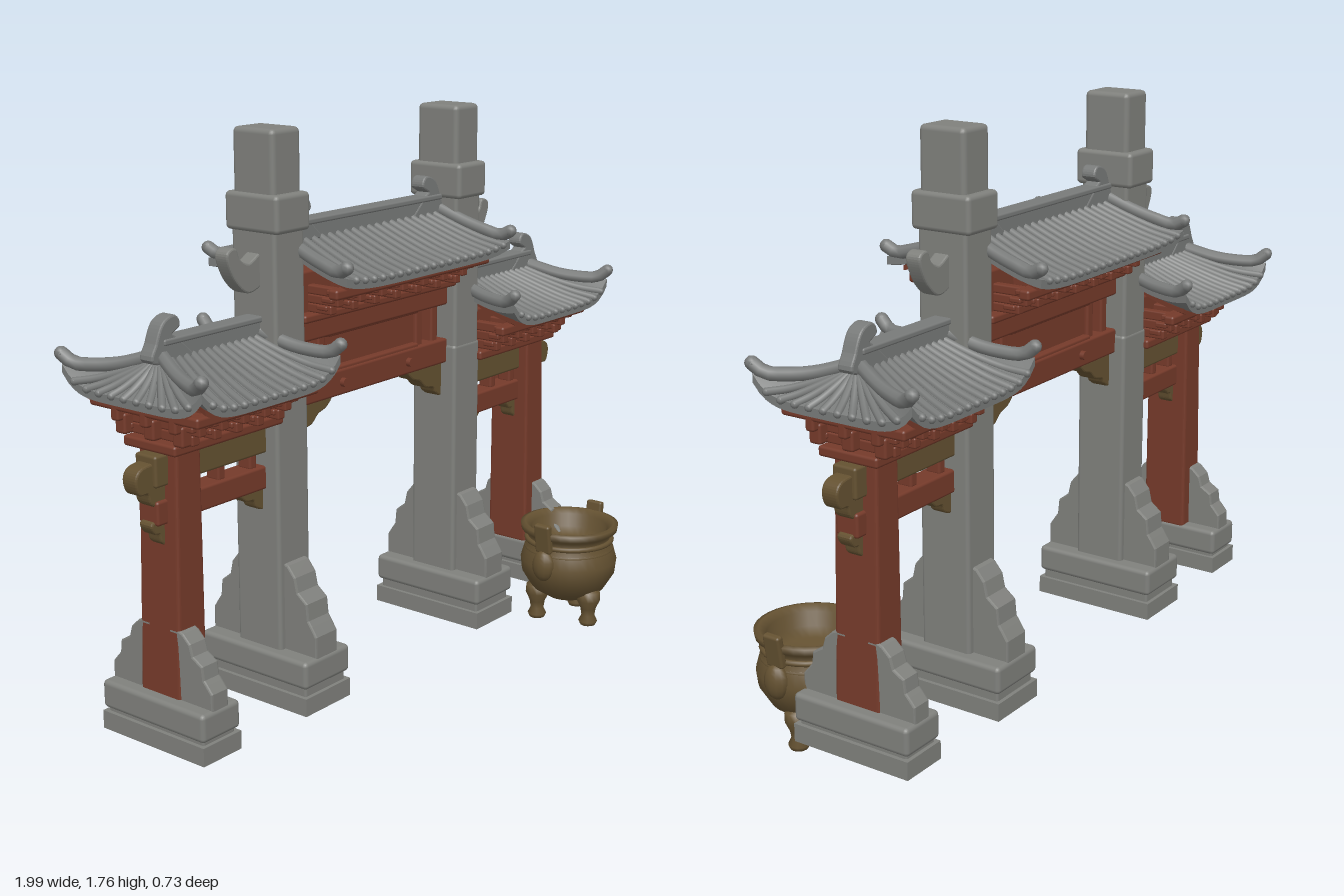
import * as THREE from 'three';
import { RoundedBoxGeometry } from 'three/addons/geometries/RoundedBoxGeometry.js';

const mat = (name, color) => Object.assign(new THREE.MeshStandardMaterial({ color }), { name });
const stone = mat('stone grey', 0x7f807c);
const tile = mat('roof tile grey', 0x787a79);
const red = mat('painted wood red', 0x753a2a);
const bronze = mat('bronze brown', 0x645131);

const V = (x, y, z) => new THREE.Vector3(x, y, z);
const lerp = THREE.MathUtils.lerp;
const HALF = 0.265; // half depth of the roofs

function add(parent, name, geometry, material, x = 0, y = 0, z = 0) {
  const mesh = new THREE.Mesh(geometry, material);
  mesh.name = name;
  mesh.position.set(x, y, z);
  parent.add(mesh);
  return mesh;
}

// Softened block given by its x and y ranges and its depth
function block(parent, name, material, x0, x1, y0, y1, depth, z = 0, r = 0.008) {
  const w = x1 - x0, h = y1 - y0;
  const geo = new RoundedBoxGeometry(w, h, depth, 2, Math.min(r, w / 3, h / 3));
  return add(parent, name, geo, material, (x0 + x1) / 2, (y0 + y1) / 2, z);
}

// Flat carved piece cut from a smooth outline in the x-y plane
function carving(parent, name, material, points, depth, smooth = true) {
  const pts = points.map(p => new THREE.Vector2(...p));
  const shape = new THREE.Shape();
  shape.moveTo(pts[0].x, pts[0].y);
  if (smooth) shape.splineThru([...pts.slice(1), pts[0]]);
  else pts.slice(1).forEach(p => shape.lineTo(p.x, p.y));
  const geo = new THREE.ExtrudeGeometry(shape, {
    depth: depth - 0.012, bevelSize: 0.005, bevelThickness: 0.006, bevelSegments: 2, curveSegments: 5,
  });
  geo.translate(0, 0, 0.006 - depth / 2);
  return add(parent, name, geo, material);
}

function tube(parent, name, material, points, radius) {
  const curve = new THREE.CatmullRomCurve3(points);
  add(parent, name, new THREE.TubeGeometry(curve, 10, radius, 8), material);
  for (const p of [points[0], points.at(-1)])
    add(parent, name + 'End', new THREE.SphereGeometry(radius, 8, 6), material, p.x, p.y, p.z);
}

// Curved roof slab: u runs along the eave, t from eave (0) to ridge (1)
function slab(parent, name, material, at, thickness, drop, inset = 0) {
  const geo = new THREE.BoxGeometry(1, 1, 1, 24, 1, 10);
  const pos = geo.attributes.position;
  for (let i = 0; i < pos.count; i++) {
    const p = at(pos.getX(i) * (1 - inset), inset + (0.5 - pos.getZ(i)) * (1 - inset));
    pos.setXYZ(i, p.x, p.y - drop + (pos.getY(i) - 0.5) * thickness, p.z);
  }
  geo.computeVertexNormals();
  add(parent, name, geo, material);
}

// Tiled slope with rows of round tiles
function slope(parent, at, width) {
  slab(parent, 'roofSlope', tile, at, 0.025, 0);
  slab(parent, 'soffit', red, at, 0.015, 0.026, 0.1);
  const n = Math.round(width / 0.04);
  for (let i = 1; i < n; i++)
    tube(parent, 'tileRow', tile, [0, 0.25, 0.5, 0.75, 0.98].map(t => at(i / n - 0.5, t)), 0.012);
}

function roof(parent, r) {
  const height = (u, t) => r.eave + (r.top - r.eave) * t ** 1.2
    + r.lift * Math.abs(2 * u) ** 6 * (1 - t) ** 2;
  for (const s of [1, -1]) {
    const at = (u, t) => V(lerp(lerp(...r.inner, t), lerp(...r.outer, t), u * s + 0.5),
      height(u, t), s * HALF * (1 - t));
    slope(parent, at, r.outer[0] - r.inner[0]);
    // upturned ridges along both ends
    for (const e of [-0.5, 0.5]) {
      const tip = at(e, 0);
      tip.y += 0.03;
      tube(parent, 'endRidge', tile, [tip, ...[0.12, 0.35, 0.6, 0.95].map(t => at(e, t).add(V(0, 0.012, 0)))], 0.02);
    }
  }
  if (r.hip)
    slope(parent, (u, t) => V(lerp(...r.outer, t), height(u, t), -2 * u * HALF * (1 - t)), 0.45);
  block(parent, 'ridge', tile, r.ridge[0], r.ridge[1], r.top - 0.02, r.top + 0.05, 0.045);
  block(parent, 'ridgeMoulding', tile, r.ridge[0], r.ridge[1], r.top + 0.036, r.top + 0.054, 0.06);
}

// Curled ridge ornament leaning outward (dir = 1 towards +x)
const curl = (parent, x, y, dir) => carving(parent, 'ridgeCurl', tile,
  [[-0.07, 0], [0.07, 0], [0.06, 0.05], [0.035, 0.1], [-0.005, 0.115], [-0.02, 0.09], [0.01, 0.07], [-0.015, 0.05]]
    .map(([a, b]) => [x + a * dir, y + b]), 0.05);

// Stepped bracket cluster growing outward under an eave
function bracket(parent, x, y, h, reach) {
  for (let i = 0; i < 3; i++) {
    const d = lerp(0.11, reach, (i + 1) / 3), y0 = y + i * h / 3, w = 0.022 + i * 0.009;
    block(parent, 'bracketArm', red, x - 0.014, x + 0.014, y0, y0 + h / 3, d * 2, 0, 0.005);
    for (const s of [1, -1])
      block(parent, 'bracketBlock', red, x - w, x + w, y0 + h / 7, y0 + h / 3, 0.04, s * (d - 0.03), 0.005);
  }
}

// Hollow two-tier plinth with scrolled buttress stones before and behind the column
function plinth(parent, x, w, depth, top, stoneTop, stoneWidth) {
  const rect = (P, a, b) => new P([[-a, -b], [a, -b], [a, b], [-a, b]].map(p => new THREE.Vector2(...p)));
  const shape = rect(THREE.Shape, w / 2, depth / 2);
  shape.holes.push(rect(THREE.Path, w / 2 - 0.025, depth / 2 - 0.025));
  const foot = new THREE.ExtrudeGeometry(shape, { depth: 0.055, bevelEnabled: false });
  foot.rotateX(-Math.PI / 2);
  add(parent, 'plinthFoot', foot, stone, x, 0.07, 0);
  block(parent, 'plinthWaist', stone, x - w / 2 + 0.012, x + w / 2 - 0.012, 0.115, top - 0.07, depth - 0.024);
  block(parent, 'plinthTop', stone, x - w / 2, x + w / 2, top - 0.085, top, depth, 0, 0.014);
  const d = depth / 2 - 0.01, h = stoneTop - top + 0.01;
  const outline = [[0.04, 0], [d, 0], [d, 0.26], [d - 0.018, 0.36], [d - 0.03, 0.42], [d - 0.035, 0.6],
    [d - 0.07, 0.7], [d - 0.08, 0.86], [d - 0.105, 0.97], [0.07, 1], [0.04, 1]].map(([a, b]) => [a, top - 0.01 + b * h]);
  for (const s of [1, -1]) {
    const m = carving(parent, 'buttressStone', stone, outline, stoneWidth, false);
    m.rotation.y = -s * Math.PI / 2;
    m.position.x = x;
  }
}

// One side of the gate, towards +x
function wing() {
  const g = new THREE.Group();
  g.name = 'wing';
  // tall stone pillar
  plinth(g, 0.425, 0.2, 0.42, 0.235, 0.5, 0.095);
  block(g, 'tallPillar', stone, 0.357, 0.493, 0.2, 1.0, 0.17, 0, 0.012);
  block(g, 'pillarShaft', stone, 0.361, 0.489, 0.98, 1.5, 0.165, 0, 0.012);
  block(g, 'pillarCollar', stone, 0.353, 0.497, 1.47, 1.58, 0.2, 0, 0.014);
  block(g, 'pillarHead', stone, 0.365, 0.485, 1.56, 1.76, 0.155, 0, 0.016);
  carving(g, 'pillarCurl', stone, [[0.47, 1.33], [0.53, 1.31], [0.575, 1.34], [0.605, 1.39], [0.612, 1.425],
    [0.585, 1.435], [0.57, 1.405], [0.53, 1.385], [0.47, 1.41]], 0.05);
  // outer wooden column
  plinth(g, 0.865, 0.15, 0.40, 0.22, 0.42, 0.065);
  const column = new RoundedBoxGeometry(0.11, 0.74, 0.155, 2, 0.01);
  const p = column.attributes.position;
  for (let i = 0; i < p.count; i++)
    if (p.getY(i) > 0) p.setXYZ(i, p.getX(i) * 0.85 - 0.012, p.getY(i), p.getZ(i) * 0.94);
  column.computeVertexNormals();
  add(g, 'outerColumn', column, red, 0.848, 0.58, 0);
  // beams and carved supports
  block(g, 'upperBeam', bronze, 0.48, 0.93, 0.835, 0.925, 0.08);
  block(g, 'lowerBeam', red, 0.48, 0.925, 0.725, 0.795, 0.075);
  for (const x of [0.53, 0.66, 0.77])
    block(g, 'beamSpacer', red, x - 0.015, x + 0.015, 0.79, 0.84, 0.05);
  carving(g, 'beamEndScroll', bronze, [[0.88, 0.9], [0.96, 0.895], [0.985, 0.87], [0.975, 0.83], [0.945, 0.825],
    [0.93, 0.79], [0.88, 0.78]], 0.055);
  for (const [x, d] of [[0.485, 1], [0.8, -1], [0.88, 1]])
    carving(g, 'beamSupport', bronze, [[0, 0.73], [0.09, 0.73], [0.075, 0.705], [0.045, 0.7], [0.03, 0.675], [0, 0.67]]
      .map(([a, b]) => [x + a * d * (x > 0.7 ? 0.55 : 1), b]), 0.05);
  // eave brackets
  block(g, 'capBoard', red, 0.48, 0.915, 0.93, 0.96, 0.2);
  block(g, 'bracketCore', red, 0.48, 0.88, 0.95, 1.09, 0.1);
  for (let i = 0; i < 5; i++) bracket(g, 0.53 + i * 0.085, 0.96, 0.09, 0.19);
  for (const z of [-0.11, 0, 0.11]) {
    block(g, 'endBracket', red, 0.86, 0.915, 0.96, 1.02, 0.04, z);
    block(g, 'endBracketArm', red, 0.86, 0.935, 1.0, 1.05, 0.03, z);
  }
  for (const s of [1, -1]) block(g, 'eavePurlin', red, 0.45, 0.935, 1.03, 1.06, 0.035, s * 0.19);
  block(g, 'endPurlin', red, 0.9, 0.935, 1.03, 1.06, 0.38);
  roof(g, { inner: [0.425, 0.48], outer: [0.975, 0.86], eave: 1.085, top: 1.18, lift: 0.06, ridge: [0.48, 0.87], hip: true });
  curl(g, 0.83, 1.175, 1);
  // half of the central bay
  carving(g, 'centralSupport', bronze, [[0.365, 0.945], [0.2, 0.945], [0.21, 0.915], [0.25, 0.9], [0.28, 0.875],
    [0.32, 0.865], [0.335, 0.845], [0.365, 0.84]], 0.06);
  for (const x of [0.235, 0.315]) block(g, 'panelPost', red, x - 0.017, x + 0.017, 1.0, 1.15, 0.07);
  curl(g, 0.29, 1.425, 1);
  return g;
}

function centralBay() {
  const g = new THREE.Group();
  g.name = 'centralBay';
  block(g, 'panelLowerBeam', red, -0.365, 0.365, 0.94, 1.02, 0.1);
  block(g, 'panelUpperBeam', red, -0.365, 0.365, 1.13, 1.205, 0.1);
  block(g, 'signPanel', red, -0.235, 0.235, 1.0, 1.15, 0.045);
  for (const s of [1, -1]) {
    for (const y of [1.02, 1.135]) block(g, 'panelFrame', red, -0.22, 0.22, y - 0.01, y + 0.01, 0.03, s * 0.03);
    for (const x of [-0.16, 0.16]) {
      const peg = add(g, 'beamPeg', new THREE.CylinderGeometry(0.014, 0.014, 0.02, 12), red, x, 0.98, s * 0.055);
      peg.rotation.x = Math.PI / 2;
    }
    block(g, 'eavePurlin', red, -0.37, 0.37, 1.28, 1.31, 0.035, s * 0.19);
  }
  block(g, 'capBoard', red, -0.365, 0.365, 1.195, 1.22, 0.17);
  block(g, 'bracketCore', red, -0.36, 0.36, 1.2, 1.34, 0.1);
  for (let i = -3; i <= 3; i++) bracket(g, i * 0.1, 1.22, 0.08, 0.19);
  roof(g, { inner: [-0.395, -0.36], outer: [0.395, 0.36], eave: 1.335, top: 1.43, lift: 0.02, ridge: [-0.36, 0.36] });
  return g;
}

// Three-legged incense burner
function burner() {
  const g = new THREE.Group();
  g.name = 'incenseBurner';
  const profile = [[0, 0.075], [0.07, 0.08], [0.125, 0.115], [0.158, 0.17], [0.163, 0.215], [0.15, 0.26], [0.138, 0.285],
    [0.14, 0.305], [0.162, 0.318], [0.165, 0.338], [0.15, 0.342], [0.128, 0.325], [0.125, 0.28], [0.1, 0.255], [0, 0.25]];
  add(g, 'bowl', new THREE.LatheGeometry(profile.map(p => new THREE.Vector2(...p)), 32), bronze);
  for (const y of [0.255, 0.285])
    add(g, 'neckBand', new THREE.TorusGeometry(0.143, 0.009, 8, 32).rotateX(Math.PI / 2), bronze, 0, y, 0);
  for (const deg of [105, 225, 345]) {
    const a = deg * Math.PI / 180;
    const leg = new THREE.LatheGeometry([[0, 0], [0.026, 0.002], [0.032, 0.015], [0.022, 0.035], [0.026, 0.06],
      [0.04, 0.09], [0.038, 0.12], [0, 0.14]].map(p => new THREE.Vector2(...p)), 12);
    add(g, 'leg', leg, bronze, Math.cos(a) * 0.105, 0, Math.sin(a) * 0.105);
  }
  for (const s of [1, -1]) {
    const ear = block(g, 'earHandle', bronze, s * 0.158 - 0.012, s * 0.158 + 0.012, 0.27, 0.372, 0.06);
    ear.rotation.z = -s * 0.15;
    const mask = add(g, 'sideMask', new THREE.SphereGeometry(0.04, 12, 10), bronze, s * 0.155, 0.225, 0);
    mask.scale.set(0.75, 1.35, 1);
  }
  g.position.set(0.765, 0, 0.19);
  return g;
}

export function createModel() {
  const model = new THREE.Group();
  model.name = 'ceremonialGateway';
  const gate = new THREE.Group();
  gate.name = 'gate';
  gate.position.z = -0.087;
  const left = wing(), right = wing();
  left.name = 'leftWing';
  right.name = 'rightWing';
  right.rotation.y = Math.PI;
  gate.add(left, right, centralBay());
  model.add(gate, burner());
  return model;
}
